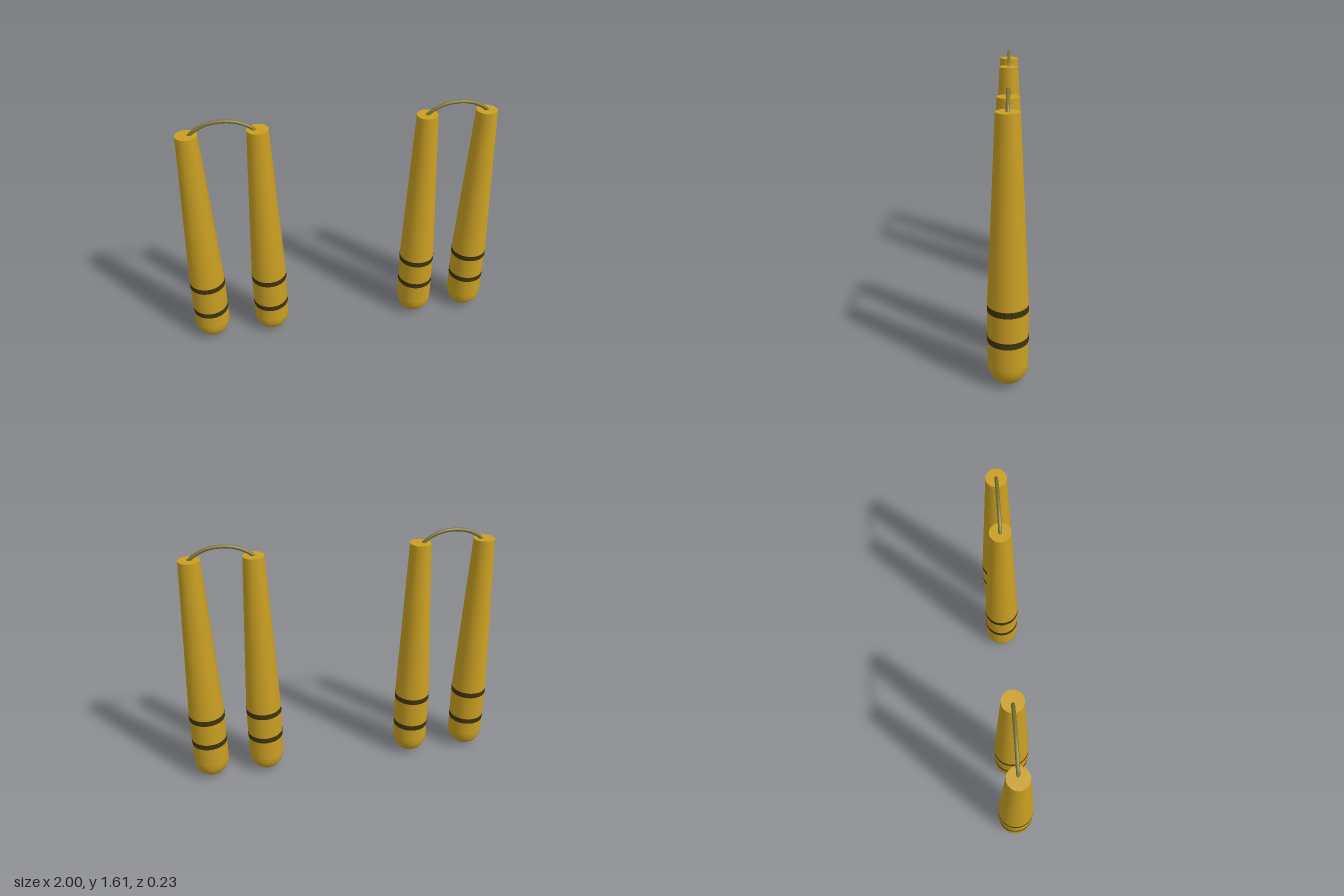
import * as THREE from 'three';

const mat = (name, color) => new THREE.MeshStandardMaterial({ name, color });

export function createModel() {
  const wood = mat('golden wood', 0xc99f22);
  const dark = mat('dark band', 0x40330f);
  const rope = mat('olive cord', 0x7d7432);
  const R = 0.1127, TOP_R = 0.064, TOP = 1.53, DOME = 0.125, SIDES = 40;

  const part = (name, geometry, material) => {
    const mesh = new THREE.Mesh(geometry, material);
    mesh.name = name;
    return mesh;
  };

  // One hanging handle: domed foot, straight grip, tapered shaft, two bands
  function handle(name, x, bands) {
    const group = new THREE.Group();
    group.name = name;
    group.position.x = x;
    const gripTop = bands[1] + 0.018;

    const profile = [];
    for (let i = 0; i <= 10; i++) {
      const a = (i / 10) * Math.PI / 2;
      profile.push(new THREE.Vector2(R * Math.sin(a), DOME * (1 - Math.cos(a))));
    }
    group.add(part('foot', new THREE.LatheGeometry(profile, SIDES), wood));

    const grip = part('grip', new THREE.CylinderGeometry(R, R, gripTop - DOME, SIDES, 1, true), wood);
    grip.position.y = (gripTop + DOME) / 2;
    const shaft = part('shaft', new THREE.CylinderGeometry(TOP_R, R, TOP - gripTop, SIDES), wood);
    shaft.position.y = (TOP + gripTop) / 2;
    group.add(grip, shaft);

    bands.forEach((y) => {
      const band = part('band', new THREE.CylinderGeometry(R + 0.001, R + 0.001, 0.036, SIDES), dark);
      band.position.y = y;
      group.add(band);
    });
    return group;
  }

  // Arched cord joining the two handle tops
  function cord(x) {
    const points = [[-0.195, 1.515], [-0.165, 1.546], [-0.09, 1.585], [0, 1.598], [0.09, 1.585], [0.165, 1.546], [0.195, 1.515]];
    const curve = new THREE.CatmullRomCurve3(points.map(([px, py]) => new THREE.Vector3(px, py, 0)));
    const mesh = part('cord', new THREE.TubeGeometry(curve, 36, 0.011, 10), rope);
    mesh.position.x = x;
    return mesh;
  }

  function pair(name, outer, inner, bands) {
    const group = new THREE.Group();
    group.name = name;
    group.add(handle('outerHandle', outer, bands), handle('innerHandle', inner, bands), cord((outer + inner) / 2));
    return group;
  }

  const model = new THREE.Group();
  model.name = 'twoPairsOfHandles';
  model.add(pair('rightPair', -0.887, -0.484, [0.237, 0.448]));
  model.add(pair('leftPair', 0.886, 0.519, [0.281, 0.467]));
  return model;
}
